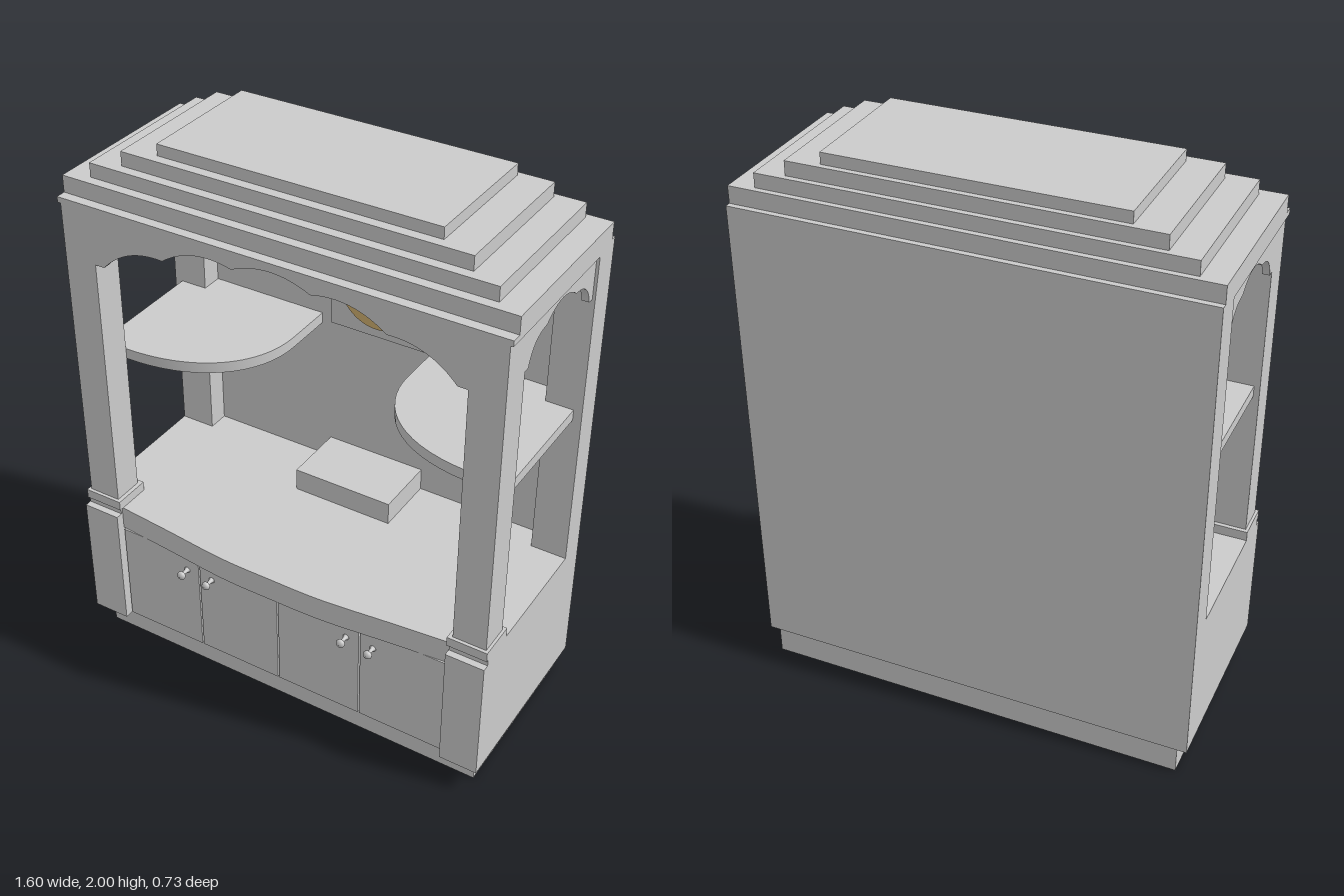
import * as THREE from 'three';
import { toCreasedNormals } from 'three/addons/utils/BufferGeometryUtils.js';

const wood = new THREE.MeshStandardMaterial({ color: 0xcccccc });
const gold = new THREE.MeshStandardMaterial({ color: 0xd0b070 });

export function createModel() {
  const group = new THREE.Group();

  const add = (name, geometry, material = wood) => {
    const mesh = new THREE.Mesh(geometry, material);
    mesh.name = name;
    group.add(mesh);
    return mesh;
  };

  // Box given by its limits on each axis
  const box = (name, x0, x1, y0, y1, z0, z1) => {
    const g = new THREE.BoxGeometry(x1 - x0, y1 - y0, z1 - z0);
    g.translate((x0 + x1) / 2, (y0 + y1) / 2, (z0 + z1) / 2);
    return add(name, g);
  };

  // The same box on both sides
  const pair = (name, x0, x1, ...rest) => {
    box(name + 'Left', x0, x1, ...rest);
    box(name + 'Right', -x1, -x0, ...rest);
  };

  const extrude = (shape, depth) => toCreasedNormals(
    new THREE.ExtrudeGeometry(shape, { depth, bevelEnabled: false, curveSegments: 16 }), 0.5);

  // Horizontal slab from an (x, z) outline, its top at height y
  const slab = (name, shape, y, depth) => {
    const g = extrude(shape, depth);
    g.rotateX(Math.PI / 2);
    g.translate(0, y, 0);
    return add(name, g);
  };

  // Header board with a scalloped lower edge; cusps run from the outer end to the centre
  const scallopBoard = (half, top, cusps, bulge) => {
    const nodes = [...cusps.map(([x, y]) => [-x, y]), ...cusps.slice().reverse()];
    const s = new THREE.Shape();
    s.moveTo(-half, top);
    s.lineTo(-half, nodes[0][1]);
    s.lineTo(...nodes[0]);
    for (let i = 1; i < nodes.length; i++) {
      const [ax, ay] = nodes[i - 1], [bx, by] = nodes[i];
      s.quadraticCurveTo((ax + bx) / 2 - (by - ay) * 2 * bulge,
        (ay + by) / 2 + (bx - ax) * 2 * bulge, bx, by);
    }
    s.lineTo(half, nodes[0][1]);
    s.lineTo(half, top);
    return extrude(s, 0.025);
  };

  // Hollow plinth
  box('plinthFront', -0.765, 0.765, 0, 0.1, 0.255, 0.285);
  box('plinthBack', -0.765, 0.765, 0, 0.1, -0.36, -0.33);
  pair('plinthSide', 0.735, 0.765, 0, 0.1, -0.33, 0.255);

  // Cabinet body and back
  box('cabinetBody', -0.8, 0.8, 0.1, 0.6, -0.34, 0.3);
  box('backPanel', -0.8, 0.8, 0.1, 1.8, -0.365, -0.34);
  pair('cornerPillar', 0.66, 0.8, 0.1, 0.575, 0.3, 0.345);
  pair('pillarNeck', 0.66, 0.8, 0.575, 0.6, 0.3, 0.32);

  // Doors
  const edges = [-0.655, -0.328, 0, 0.328, 0.655];
  for (let i = 0; i < 4; i++) {
    box('door', edges[i] + 0.003, edges[i + 1] - 0.003, 0.11, 0.508, 0.3, 0.32);
  }

  // Knobs
  const knobProfile = [[0, 0], [0.012, 0], [0.007, 0.008], [0.006, 0.024], [0.015, 0.031],
    [0.016, 0.038], [0.011, 0.045], [0, 0.047]].map(p => new THREE.Vector2(...p));
  for (const x of [-0.38, -0.275, 0.275, 0.38]) {
    const knob = add('knob', new THREE.LatheGeometry(knobProfile, 20));
    knob.rotation.x = Math.PI / 2;
    knob.position.set(x, 0.44, 0.32);
  }

  // Bowed counter front
  const bow = new THREE.Shape();
  bow.moveTo(-0.66, 0.3);
  bow.lineTo(-0.66, 0.313);
  bow.splineThru([[-0.45, 0.333], [-0.2, 0.358], [0, 0.361], [0.2, 0.358], [0.45, 0.333], [0.66, 0.313]]
    .map(p => new THREE.Vector2(...p)));
  bow.lineTo(0.66, 0.3);
  slab('counterFront', bow, 0.6, 0.09);

  // Posts and their base blocks
  pair('postBase', 0.655, 0.8, 0.6, 0.635, 0.19, 0.33);
  pair('frontPost', 0.67, 0.79, 0.635, 1.78, 0.205, 0.318);
  pair('backPost', 0.67, 0.8, 0.6, 1.8, -0.34, -0.26);

  // Scalloped headers on the front and sides
  add('frontHeader', scallopBoard(0.67, 1.78,
    [[0.635, 1.59], [0.4, 1.685], [0.14, 1.735]], 0.12)).position.z = 0.293;
  for (const x of [-0.79, 0.765]) {
    const side = add('sideHeader', scallopBoard(0.2325, 1.78,
      [[0.21, 1.63], [0.1, 1.718]], 0.19));
    side.rotation.y = Math.PI / 2;
    side.position.set(x, 0, -0.0275);
  }

  // Stepped roof
  box('ceiling', -0.8, 0.8, 1.78, 1.8, -0.34, 0.32);
  [[0.8, 1.8, 1.86, -0.345, 0.285], [0.715, 1.86, 1.91, -0.325, 0.25],
    [0.615, 1.91, 1.96, -0.305, 0.215], [0.5, 1.96, 2, -0.285, 0.18]]
    .forEach(([x, ...rest]) => box('roofStep', -x, x, ...rest));

  // Rounded side shelves
  for (const s of [-1, 1]) {
    const shelf = new THREE.Shape();
    shelf.moveTo(s * 0.67, -0.34);
    shelf.lineTo(s * 0.225, -0.34);
    shelf.lineTo(s * 0.225, -0.15);
    shelf.bezierCurveTo(s * 0.225, 0.06, s * 0.4, 0.205, s * 0.67, 0.205);
    shelf.lineTo(s * 0.77, 0.205);
    shelf.lineTo(s * 0.77, -0.26);
    shelf.lineTo(s * 0.67, -0.26);
    slab(s > 0 ? 'shelfLeft' : 'shelfRight', shelf, 1.21, 0.04);
  }

  // Raised platform and wall plaque with a gold ring
  box('platform', -0.19, 0.19, 0.6, 0.685, -0.34, -0.105);
  box('plaque', -0.183, 0.183, 1.19, 1.55, -0.34, -0.33);
  const ring = new THREE.Shape().absarc(0, 0, 0.146, 0, Math.PI * 2);
  ring.holes.push(new THREE.Path().absarc(0, 0, 0.112, 0, Math.PI * 2, true));
  add('goldRing', toCreasedNormals(new THREE.ExtrudeGeometry(ring,
    { depth: 0.006, bevelEnabled: false, curveSegments: 48 }), 0.5), gold).position.set(0, 1.37, -0.33);

  return group;
}
